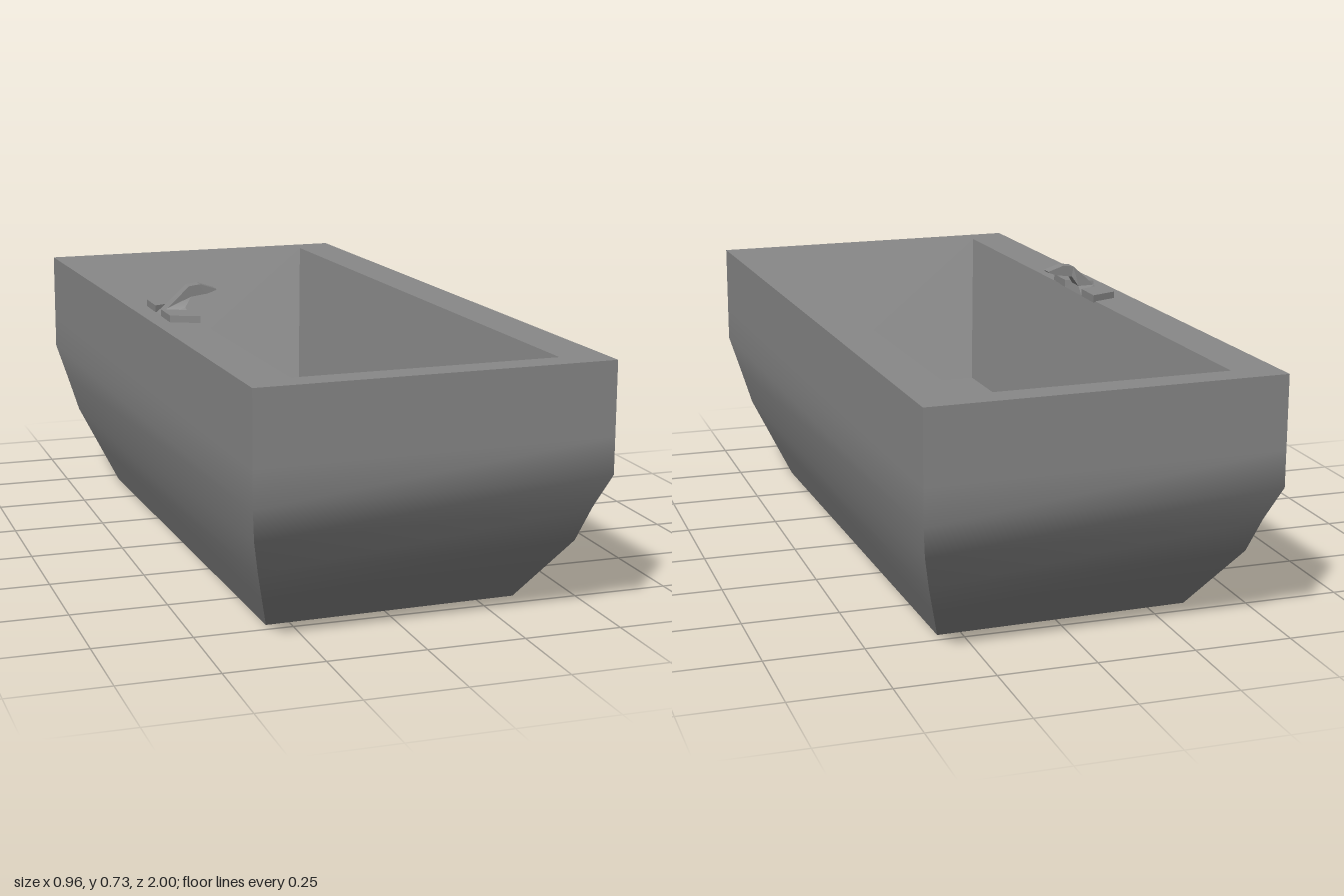
import * as THREE from 'three';
import { toCreasedNormals } from 'three/addons/utils/BufferGeometryUtils.js';

const material = new THREE.MeshStandardMaterial({ color: 0x888888 });

// Skin a stack of four-cornered rings and close both ends.
// Corners run counter-clockwise as seen from the end the stack grows towards.
function loft(name, rings, crease) {
  const pos = [];
  const quad = (a, b, c, d) => pos.push(...a, ...b, ...c, ...a, ...c, ...d);
  for (let i = 0; i < rings.length - 1; i++) {
    for (let j = 0; j < 4; j++) {
      const k = (j + 1) % 4;
      quad(rings[i][j], rings[i][k], rings[i + 1][k], rings[i + 1][j]);
    }
  }
  quad(...[...rings[0]].reverse());
  quad(...rings[rings.length - 1]);
  const geometry = new THREE.BufferGeometry();
  geometry.setAttribute('position', new THREE.Float32BufferAttribute(pos, 3));
  const mesh = new THREE.Mesh(toCreasedNormals(geometry, crease), material);
  mesh.name = name;
  return mesh;
}

const rectangle = ([y, w, l]) => [[w, y, l], [w, y, -l], [-w, y, -l], [-w, y, l]];

export function createModel() {
  const group = new THREE.Group();
  group.name = 'bathtub';

  // Tub: up the outside, over the rim, down to the basin floor [height, half width, half length]
  const tub = loft('tub', [
    [0, 0.33, 0.71],
    [0.095, 0.369, 0.798],
    [0.19, 0.408, 0.886],
    [0.283, 0.431, 0.928],
    [0.377, 0.453, 0.987],
    [0.47, 0.453, 0.987],
    [0.657, 0.453, 0.987],
    [0.657, 0.337, 0.913],
    [0.245, 0.272, 0.741],
  ].map(rectangle), 0.7);
  tub.rotation.y = 0.028;
  group.add(tub);

  // Faucet on the rim, about its own centre line
  const faucet = new THREE.Group();
  faucet.name = 'faucet';
  faucet.position.z = 0.069;
  group.add(faucet);

  // Slanted handle plates on either side of the spout
  for (const side of [1, -1]) {
    const plate = (y) => {
      const ring = [[-0.332, y, 0.155], [-0.332, y, 0.065], [-0.405, y, 0.03], [-0.405, y, 0.125]];
      return side > 0 ? ring : ring.map(([x, h, z]) => [x, h, -z]).reverse();
    };
    faucet.add(loft(side > 0 ? 'frontHandle' : 'backHandle', [plate(0.655), plate(0.675)], 0.3));
  }

  // Spout with a flared foot: [back x, y, half width, front x, y, half width]
  faucet.add(loft('spout', [
    [-0.405, 0.655, 0.03, -0.332, 0.655, 0.065],
    [-0.385, 0.675, 0.02, -0.338, 0.675, 0.025],
    [-0.325, 0.73, 0.018, -0.32, 0.702, 0.018],
    [-0.295, 0.734, 0.018, -0.275, 0.708, 0.018],
    [-0.25, 0.719, 0.018, -0.252, 0.716, 0.018],
  ].map(([bx, by, bw, fx, fy, fw]) => [
    [fx, fy, fw], [fx, fy, -fw], [bx, by, -bw], [bx, by, bw],
  ]), 0.3));

  return group;
}
